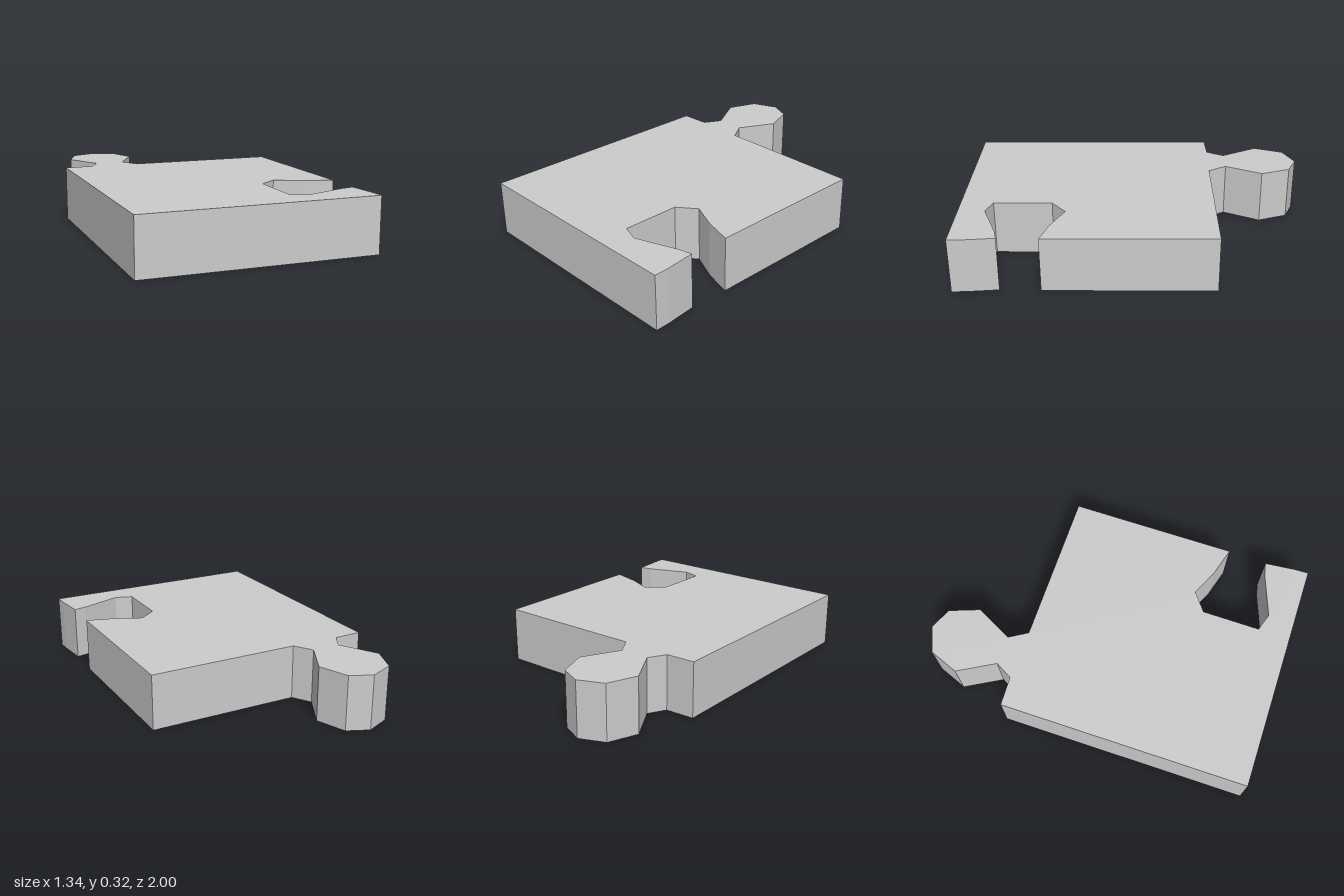
import * as THREE from 'three';

const HEIGHT = 0.32;

// Outline pieces as [x, z], running round the plan from the back right corner
const tab = [
  [-0.505, -0.457], [-0.45, -0.557], [-0.57, -0.77], [-0.505, -0.94], [-0.36, -1],
  [-0.235, -0.945], [-0.17, -0.77], [-0.28, -0.557], [-0.215, -0.45],
];
const socket = [
  [0.66, 0.515], [0.495, 0.467], [0.34, 0.396], [0.235, 0.478],
  [0.233, 0.813], [0.335, 0.847], [0.578, 0.757], [0.652, 0.741],
];
const outline = [
  [-0.672, -0.45], ...tab, [0.66, -0.45], ...socket, [0.67, 0.92], [0.672, 1], [-0.672, 1],
];

export function createModel() {
  const group = new THREE.Group();
  group.name = 'jigsawPiece';

  // Plan outline raised straight up into a thick slab
  const shape = new THREE.Shape(outline.map(([x, z]) => new THREE.Vector2(x, -z)));
  const geometry = new THREE.ExtrudeGeometry(shape, { depth: HEIGHT, bevelEnabled: false });
  geometry.rotateX(-Math.PI / 2);

  const piece = new THREE.Mesh(
    geometry,
    new THREE.MeshStandardMaterial({ color: 0xcccccc, flatShading: true }),
  );
  piece.name = 'slabWithTabAndSocket';
  group.add(piece);
  return group;
}
